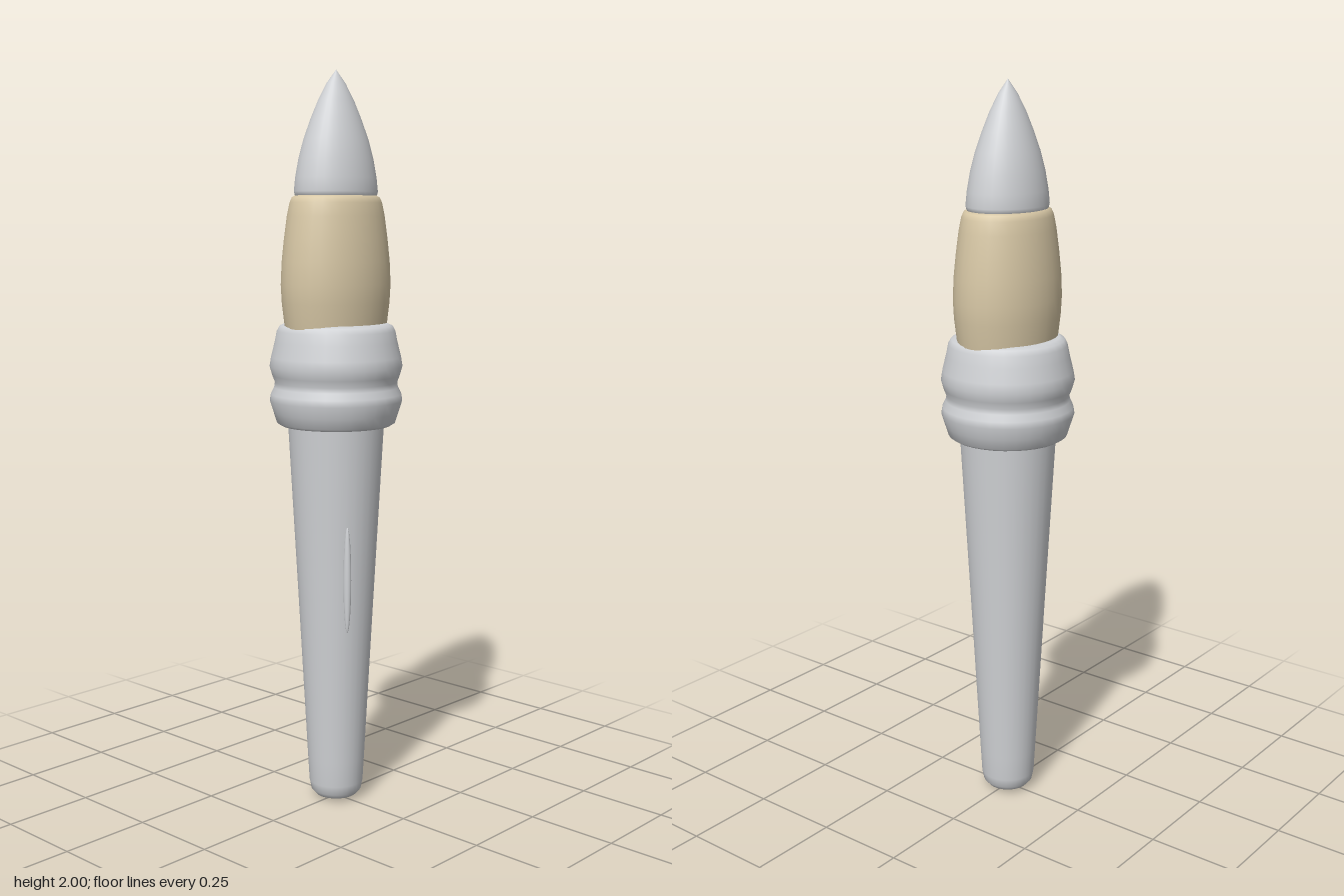
import * as THREE from 'three';

const silver = new THREE.MeshStandardMaterial({ color: 0xd0d2d5 });
silver.name = 'silver grey';
const tan = new THREE.MeshStandardMaterial({ color: 0xd8c8a6 });
tan.name = 'warm tan';

// Turned part from [radius, height] pairs (bottom to top), optionally flattened in z
function turned(name, profile, material, flatten = 1) {
  const points = profile.map(([r, y]) => new THREE.Vector2(r, y));
  const geometry = new THREE.LatheGeometry(points, 32);
  geometry.scale(1, 1, flatten);
  const mesh = new THREE.Mesh(geometry, material);
  mesh.name = name;
  return mesh;
}

export function createModel() {
  const group = new THREE.Group();
  group.name = 'brush';

  // Long tapered handle with a rounded butt
  group.add(turned('handle', [
    [0, 0], [0.035, 0.003], [0.058, 0.011], [0.07, 0.025], [0.075, 0.05],
    [0.079, 0.12], [0.105, 0.6], [0.13, 1.05], [0.131, 1.1],
  ], silver));

  // Ribbed collar with two swellings
  group.add(turned('collar', [
    [0.12, 1.06], [0.15, 1.06], [0.161, 1.067], [0.17, 1.095], [0.18, 1.127],
    [0.177, 1.145], [0.168, 1.163], [0.166, 1.177], [0.173, 1.195],
    [0.18, 1.22], [0.176, 1.245], [0.166, 1.285], [0.16, 1.315],
    [0.152, 1.329], [0.138, 1.335], [0.1, 1.335], [0, 1.335],
  ], silver));

  // Oval bristle body
  group.add(turned('body', [
    [0.149, 1.29], [0.155, 1.33], [0.163, 1.39], [0.166, 1.44], [0.163, 1.5],
    [0.156, 1.56], [0.147, 1.62], [0.139, 1.655], [0.132, 1.669],
    [0.12, 1.675], [0, 1.675],
  ], tan, 0.78));

  // Oval pointed tip
  group.add(turned('tip', [
    [0, 1.664], [0.112, 1.665], [0.122, 1.67], [0.126, 1.684], [0.122, 1.72],
    [0.112, 1.77], [0.097, 1.82], [0.077, 1.87], [0.054, 1.92],
    [0.028, 1.965], [0, 2],
  ], silver, 0.78));

  // Slim raised sliver on the side of the handle
  const sliver = new THREE.Mesh(new THREE.SphereGeometry(1, 16, 20), silver);
  sliver.name = 'handleSliver';
  sliver.scale.set(0.01, 0.145, 0.011);
  sliver.position.set(-0.075, 0.655, 0.111);
  group.add(sliver);

  return group;
}
